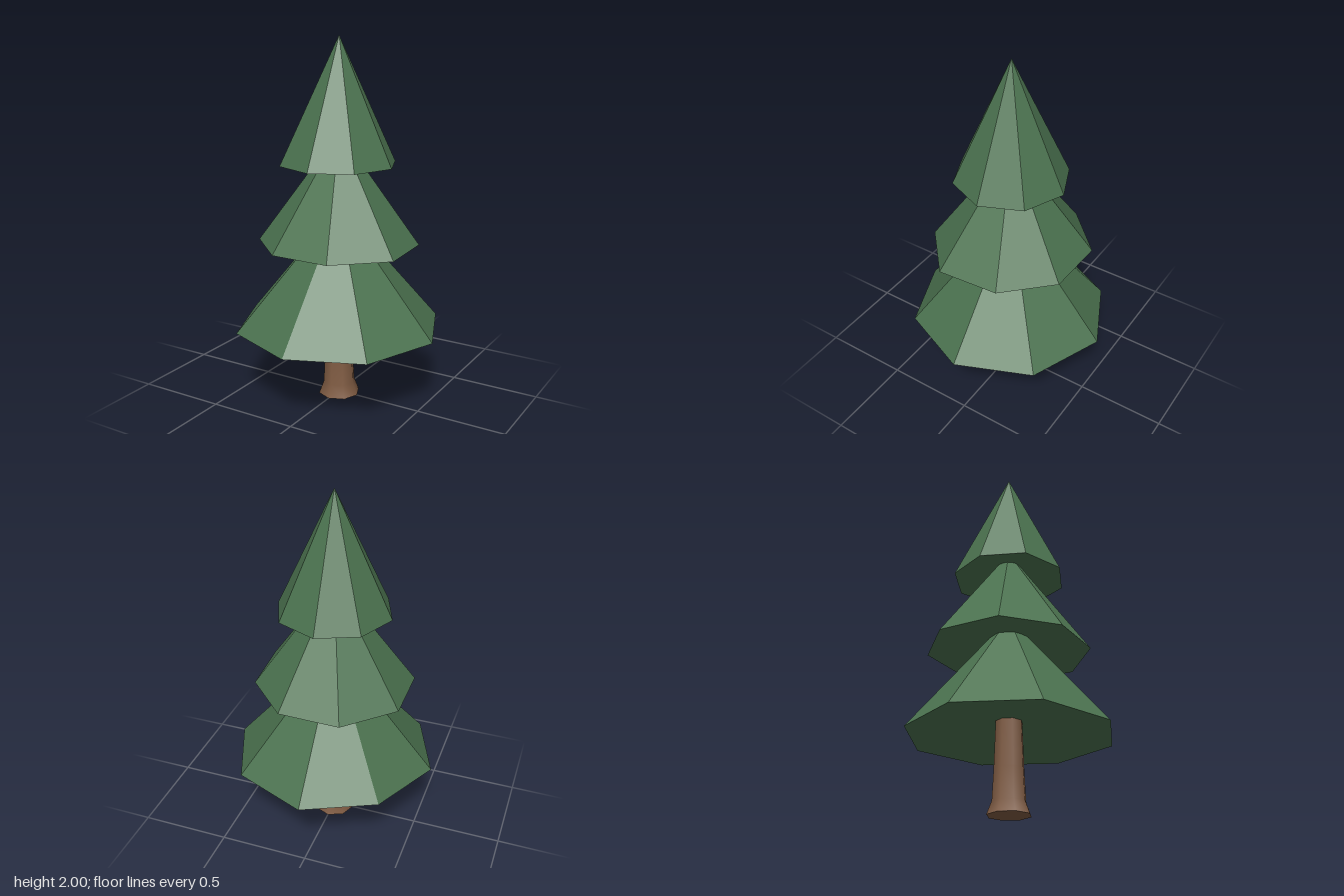
import * as THREE from 'three';

const green = new THREE.MeshStandardMaterial({ color: 0x4b724f });
green.name = 'needleGreen';
green.flatShading = true;
const brown = new THREE.MeshStandardMaterial({ color: 0x7f5b42 });
brown.name = 'barkBrown';

// Faceted canopy tier: a cone over a slightly uneven rim, hollowed underneath.
function tier(name, { apex, rim, hollow, turn, radii, tilt }) {
  const n = radii.length;
  const top = [0, apex, 0];
  const under = [0, hollow, 0];
  const points = radii.map((r, i) => {
    const a = turn + (i / n) * Math.PI * 2;
    return [r * Math.sin(a), rim - tilt * Math.cos(a), r * Math.cos(a)];
  });
  const positions = [];
  points.forEach((p, i) => {
    const q = points[(i + 1) % n];
    positions.push(...top, ...p, ...q, ...under, ...q, ...p);
  });
  const geometry = new THREE.BufferGeometry();
  geometry.setAttribute('position', new THREE.Float32BufferAttribute(positions, 3));
  geometry.computeVertexNormals();
  const mesh = new THREE.Mesh(geometry, green);
  mesh.name = name;
  return mesh;
}

export function createModel() {
  const group = new THREE.Group();
  group.name = 'pineTree';

  // Trunk with a flared foot
  const profile = [[0.117, 0], [0.09, 0.07], [0.081, 0.24], [0.071, 0.52]]
    .map(([r, y]) => new THREE.Vector2(r, y));
  const trunk = new THREE.Mesh(new THREE.LatheGeometry(profile, 8), brown);
  trunk.name = 'trunk';
  group.add(trunk);

  // Flat underside of the trunk
  const base = new THREE.Mesh(new THREE.CircleGeometry(0.117, 8), brown);
  base.rotation.x = Math.PI / 2;
  base.name = 'trunkBase';
  group.add(base);

  // Three stacked tiers, the middle one turned half a facet
  group.add(
    tier('lowerTier', {
      apex: 1.09, rim: 0.412, hollow: 0.5, turn: 0, tilt: 0.007,
      radii: [0.567, 0.572, 0.575, 0.577, 0.573, 0.548, 0.578, 0.58],
    }),
    tier('middleTier', {
      apex: 1.5, rim: 0.889, hollow: 0.98, turn: Math.PI / 8, tilt: 0.002,
      radii: [0.44, 0.462, 0.438, 0.44, 0.448, 0.452, 0.448, 0.434],
    }),
    tier('upperTier', {
      apex: 2, rim: 1.325, hollow: 1.43, turn: 0, tilt: 0.002,
      radii: [0.317, 0.313, 0.317, 0.316, 0.317, 0.312, 0.319, 0.325],
    }),
  );
  return group;
}
